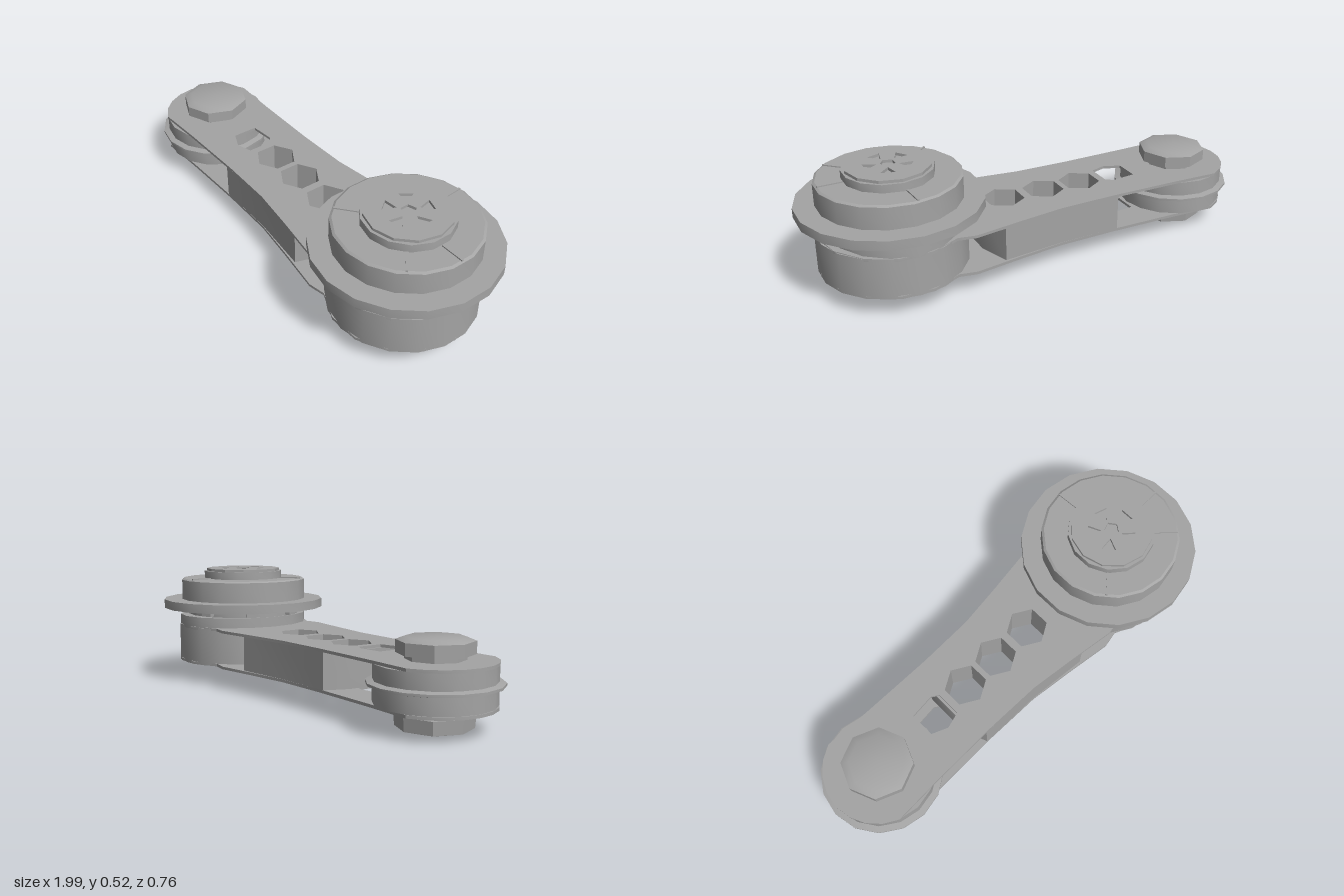
import * as THREE from 'three';
import { toCreasedNormals } from 'three/addons/utils/BufferGeometryUtils.js';

const HUB_X = 0.615, BOLT_X = -0.745;

export function createModel() {
  const model = new THREE.Group();
  model.name = 'linkArm';
  const steel = new THREE.MeshStandardMaterial({ color: 0xa4a4a4 });
  steel.name = 'grey steel';

  const add = (name, geometry, x = 0, y = 0, z = 0) => {
    const mesh = new THREE.Mesh(toCreasedNormals(geometry, 0.5), steel);
    mesh.name = name;
    mesh.position.set(x, y, z);
    model.add(mesh);
    return mesh;
  };
  // turned part: [radius, height] pairs, running up the outside
  const turn = (name, profile, sides, x) =>
    add(name, new THREE.LatheGeometry(profile.map(p => new THREE.Vector2(...p)), sides), x);
  // flat part: outline in x and z, from height y0 to y1
  const slab = (name, shape, y0, y1, x = 0) => {
    const g = new THREE.ExtrudeGeometry(shape, { depth: y1 - y0, bevelEnabled: false, curveSegments: 10 });
    g.rotateX(Math.PI / 2);
    return add(name, g, x, y1);
  };
  const polygon = (cx, cz, r, sides, turnBy = 0) => Array.from({ length: sides }, (_, i) => {
    const a = turnBy + i / sides * Math.PI * 2;
    return new THREE.Vector2(cx + r * Math.cos(a), cz + r * Math.sin(a));
  });
  const toPath = pts => new THREE.Path(pts);

  // holes along the arm
  const hexHoles = [-0.25, -0.07, 0.12].map(x => toPath(polygon(x, -0.005, 0.09, 6, Math.PI / 2)));
  const endHole = toPath([[-0.5, -0.06], [-0.39, -0.07], [-0.36, -0.05], [-0.36, 0.06], [-0.43, 0.08], [-0.5, 0.05]]
    .map(p => new THREE.Vector2(...p)));

  // upper and lower plates
  const half = [[0.36, 0.265], [0.15, 0.235], [-0.05, 0.21], [-0.3, 0.205], [-0.62, 0.21]];
  const outline = [];
  for (let i = 0; i <= 10; i++) {
    const a = -2.2 + i * 0.44;
    outline.push([HUB_X + 0.305 * Math.cos(a), 0.31 * Math.sin(a)]);
  }
  outline.push(...half);
  for (let i = 0; i <= 8; i++) {
    const a = 1.95 + i / 8 * (2 * Math.PI - 3.9);
    outline.push([BOLT_X + 0.235 * Math.cos(a), 0.235 * Math.sin(a)]);
  }
  outline.push(...half.map(([x, z]) => [x, -z]).reverse());
  for (const [name, y0, y1] of [['lowerPlate', 0.09, 0.102], ['upperPlate', 0.253, 0.265]]) {
    const shape = new THREE.Shape(outline.map(p => new THREE.Vector2(...p)));
    shape.holes.push(...hexHoles, endHole, toPath(polygon(HUB_X, 0, 0.225, 12)));
    slab(name, shape, y0, y1);
  }

  // spacer block between the plates
  const block = new THREE.Shape([[-0.33, -0.205], [-0.05, -0.208], [0.22, -0.235], [0.265, -0.1], [0.265, 0.1],
    [0.22, 0.235], [-0.05, 0.208], [-0.33, 0.205], [-0.37, 0.1], [-0.37, -0.1]].map(p => new THREE.Vector2(...p)));
  // the first hole lies outside the block
  block.holes.push(...hexHoles);
  slab('spacerBlock', block, 0.102, 0.253);

  // hollow hub, open underneath
  turn('hub', [[0.225, 0.09], [0.308, 0.09], [0.308, 0.262], [0.225, 0.262], [0.225, 0.09]], 18, HUB_X);
  const collar = turn('collar', [[0, 0.255], [0.31, 0.255], [0.31, 0.31], [0, 0.31]], 16, HUB_X);
  collar.scale.x = 0.87;
  turn('neck', [[0.265, 0.305], [0.265, 0.345]], 16, HUB_X);
  // clips on the neck and a latch on the collar
  for (let i = 0; i < 8; i++) {
    const a = (i + 0.5) / 8 * Math.PI * 2;
    const clip = add('clip', new THREE.BoxGeometry(0.03, 0.025, 0.05),
      HUB_X + 0.27 * Math.cos(a), 0.326, 0.27 * Math.sin(a));
    clip.rotation.y = -a;
  }
  add('latch', new THREE.BoxGeometry(0.02, 0.035, 0.1), HUB_X + 0.27, 0.287, 0);

  // wide flange and drum
  turn('flange', [[0.2, 0.34], [0.38, 0.34], [0.38, 0.38], [0.28, 0.38]], 18, HUB_X);
  turn('drum', [[0.295, 0.375], [0.295, 0.472], [0.285, 0.478], [0.17, 0.478]], 18, HUB_X);
  for (const a of [0, 0.75, 2.45, 4.65]) {
    const ridge = add('drumRidge', new THREE.BoxGeometry(0.1, 0.008, 0.008),
      HUB_X + 0.235 * Math.cos(a), 0.479, 0.235 * Math.sin(a));
    ridge.rotation.y = -a;
  }

  // cap with a pierced top
  turn('cap', [[0.185, 0.475], [0.185, 0.512], [0, 0.512]], 14, HUB_X);
  const capTop = new THREE.Shape(polygon(0, 0, 0.174, 12));
  capTop.holes.push(toPath(polygon(0, 0, 0.032, 5)));
  for (let i = 0; i < 5; i++) {
    const a = i / 5 * Math.PI * 2;
    capTop.holes.push(toPath(polygon(0.08 * Math.cos(a), 0.08 * Math.sin(a), 0.034, 3, a + Math.PI)));
  }
  slab('capTop', capTop, 0.511, 0.524, HUB_X);

  // small grooved wheel between the plates
  turn('wheel', [[0, 0.102], [0.232, 0.102], [0.232, 0.168], [0.258, 0.174], [0.258, 0.184],
    [0.232, 0.19], [0.232, 0.253], [0, 0.253]], 16, BOLT_X);

  // bolt head below and nut above
  turn('boltHead', [[0, 0], [0.1, 0], [0.105, 0.013], [0.148, 0.013], [0.152, 0.066], [0.12, 0.068],
    [0.12, 0.095]], 8, BOLT_X);
  turn('nut', [[0.115, 0.26], [0.115, 0.287], [0.148, 0.287], [0.148, 0.335], [0.115, 0.348],
    [0, 0.348]], 8, BOLT_X);
  return model;
}
